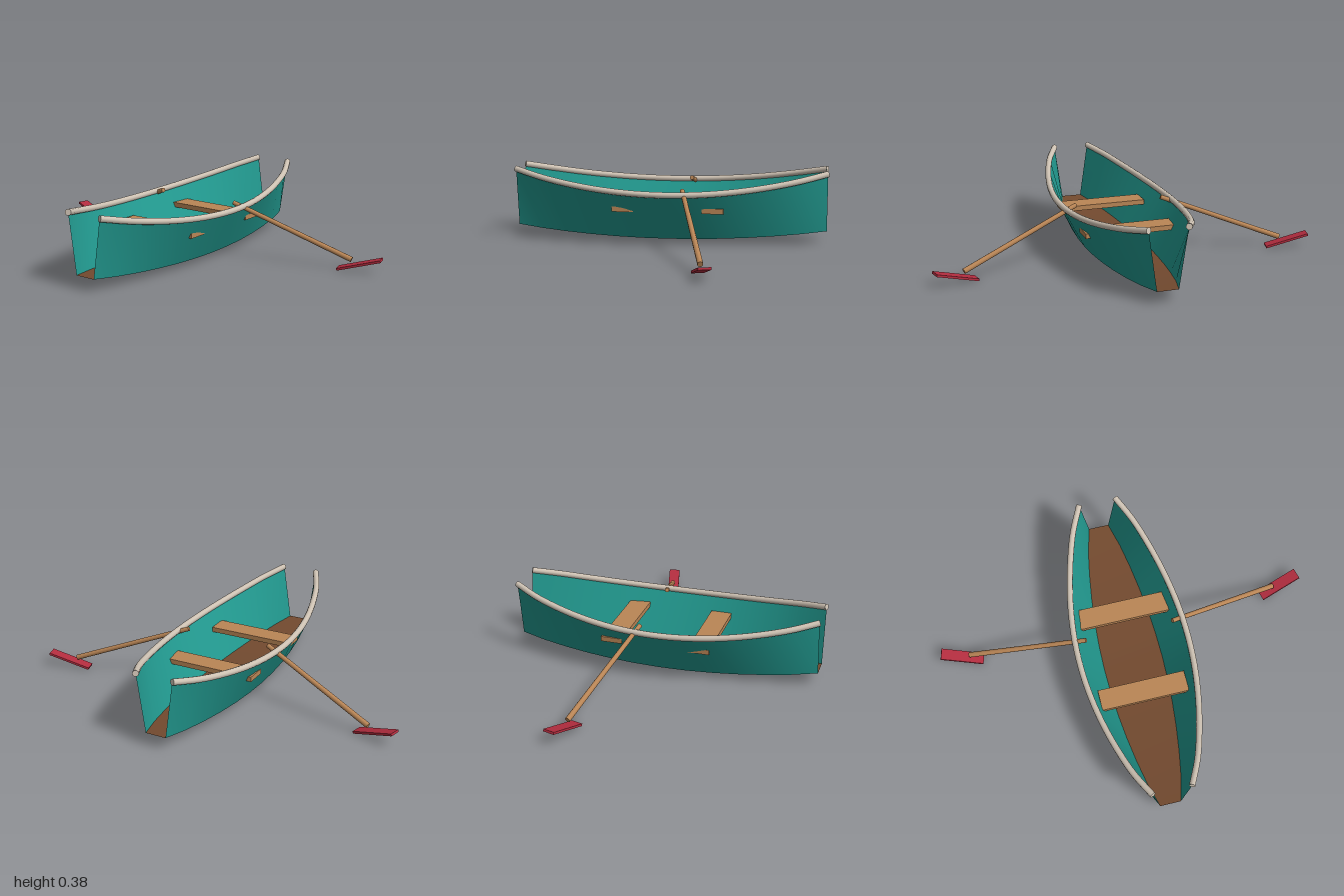
import * as THREE from 'three';

const paint = (name, color, side = THREE.FrontSide) => {
  const m = new THREE.MeshStandardMaterial({ color, side });
  m.name = name;
  return m;
};

const HALF = 0.808, SEGMENTS = 12;

// Hull station at t in [-1, 1]: half-widths and heights of floor and rim
function station(t) {
  const f = 0.34 + 0.66 * Math.pow(Math.max(0, Math.cos(t * Math.PI / 2)), 0.8);
  return {
    z: t * HALF,
    floorX: 0.16 * f, floorY: 0.03 + 0.038 * t * t,
    rimX: 0.29 * f, rimY: 0.276 + 0.094 * t * t,
  };
}
const stations = Array.from({ length: SEGMENTS + 1 }, (_, i) => station(-1 + 2 * i / SEGMENTS));

// Smooth strip between two edges that run along the hull
function strip(edgeA, edgeB) {
  const pos = [], index = [];
  stations.forEach((s, i) => {
    pos.push(...edgeA(s), ...edgeB(s));
    if (i < SEGMENTS) {
      const a = i * 2;
      index.push(a, a + 2, a + 1, a + 1, a + 2, a + 3);
    }
  });
  const g = new THREE.BufferGeometry();
  g.setAttribute('position', new THREE.Float32BufferAttribute(pos, 3));
  g.setIndex(index);
  g.computeVertexNormals();
  return g;
}

export function createModel() {
  const model = new THREE.Group();
  model.name = 'rowboat';
  const teal = paint('teal hull paint', 0x22998f, THREE.DoubleSide);
  const brown = paint('dark floor wood', 0x734a2f, THREE.DoubleSide);
  const wood = paint('light wood', 0xba8656);
  const cream = paint('cream rail paint', 0xcfc3b4);
  const red = paint('red blade paint', 0xb32d3f);

  const add = (name, geometry, material, parent = model) => {
    const mesh = new THREE.Mesh(geometry, material);
    mesh.name = name;
    parent.add(mesh);
    return mesh;
  };

  // Floor
  add('floor', strip(s => [-s.floorX, s.floorY, s.z], s => [s.floorX, s.floorY, s.z]), brown);

  for (const side of [1, -1]) {
    const label = side > 0 ? 'left' : 'right';

    // Side wall, ordered so its front faces outward
    const low = s => [side * s.floorX, s.floorY, s.z];
    const high = s => [side * s.rimX, s.rimY, s.z];
    add(label + 'Wall', side > 0 ? strip(high, low) : strip(low, high), teal);

    // Rail along the rim, with closed ends
    const curve = new THREE.CatmullRomCurve3(stations.map(s => new THREE.Vector3(...high(s))));
    add(label + 'Rail', new THREE.TubeGeometry(curve, 48, 0.016, 10), cream);
    for (const u of [0, 1]) {
      const cap = add(label + 'RailEnd', new THREE.CircleGeometry(0.016, 10), cream);
      const p = curve.getPointAt(u);
      const out = curve.getTangentAt(u).multiplyScalar(u ? 1 : -1);
      cap.position.copy(p);
      cap.lookAt(p.clone().add(out));
    }

    // Oar shaft
    const oar = new THREE.Group();
    oar.name = label + 'Oar';
    model.add(oar);
    const inner = new THREE.Vector3(side * 0.23, 0.291, -0.081);
    const outer = new THREE.Vector3(side * 0.845, 0.058, -0.236);
    const dir = outer.clone().sub(inner);
    const shaft = add('shaft', new THREE.CylinderGeometry(0.014, 0.012, dir.length(), 10), wood, oar);
    shaft.position.copy(inner).add(outer).multiplyScalar(0.5);
    shaft.quaternion.setFromUnitVectors(new THREE.Vector3(0, 1, 0), dir.normalize());

    // Oar blade, its outer end tilted up
    const blade = add('blade', new THREE.BoxGeometry(0.23, 0.012, 0.06), red, oar);
    const along = new THREE.Vector3(side * 0.214, 0.066, -0.054).normalize();
    const across = new THREE.Vector3(side * 0.245, 0, 0.97).normalize();
    if (side < 0) along.negate();
    const up = across.clone().cross(along);
    blade.quaternion.setFromRotationMatrix(new THREE.Matrix4().makeBasis(along, up, across));
    blade.position.set(side * 0.886, 0.04, -0.243);
  }

  // Bench seats, slightly through the walls
  for (const [name, z, width] of [['rearSeat', -0.234, 0.48], ['frontSeat', 0.226, 0.46]]) {
    add(name, new THREE.BoxGeometry(width, 0.026, 0.11), wood).position.set(0, 0.19, z);
  }

  return model;
}
